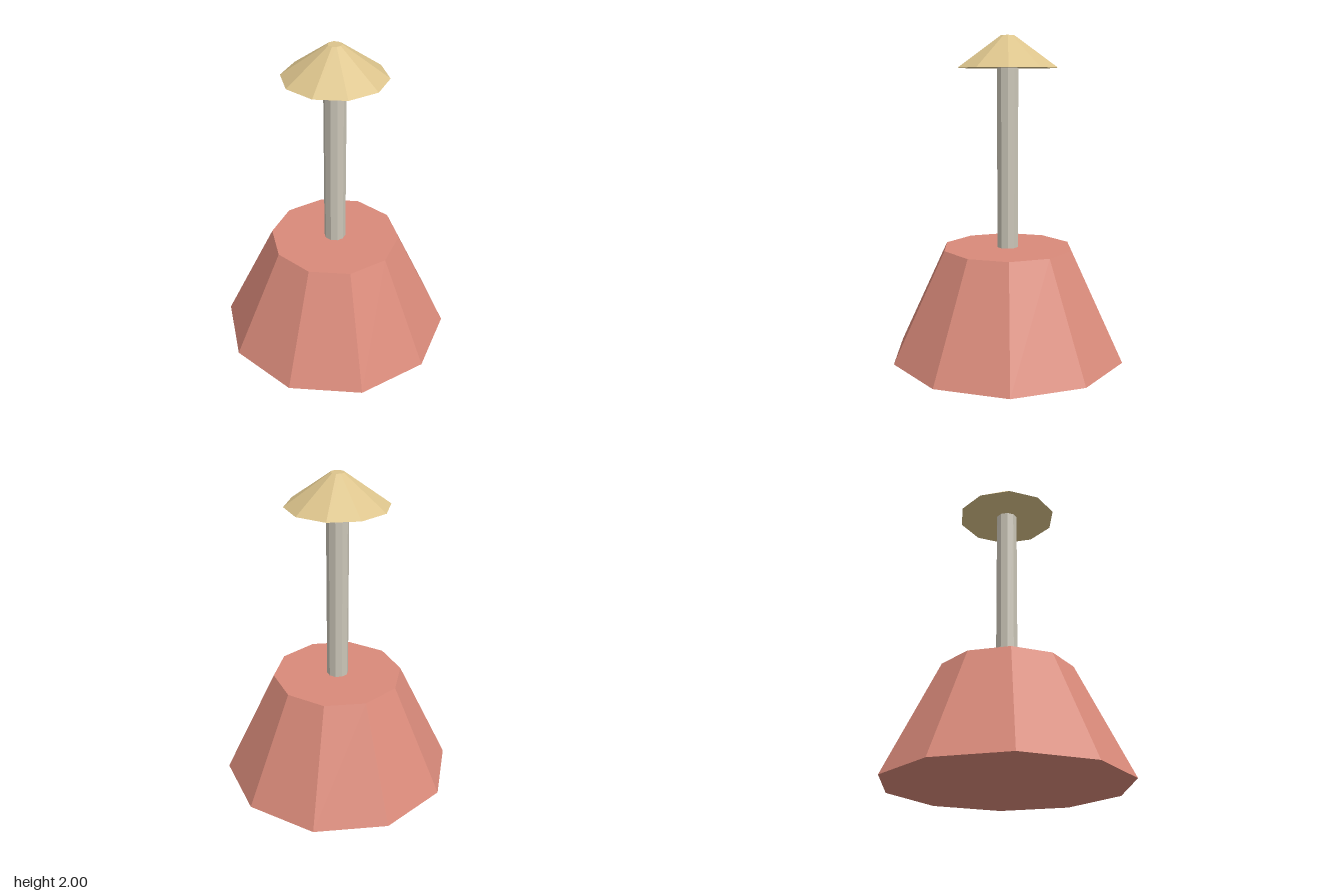
import * as THREE from 'three';

const SIDES = 10;

function material(name, color) {
  const m = new THREE.MeshStandardMaterial({ color, flatShading: true });
  m.name = name;
  return m;
}

// Ten-sided tapered section standing between two heights
function section(name, topRadius, bottomRadius, bottom, top, mat) {
  const geometry = new THREE.CylinderGeometry(topRadius, bottomRadius, top - bottom, SIDES);
  const mesh = new THREE.Mesh(geometry, mat);
  mesh.position.y = (bottom + top) / 2;
  mesh.name = name;
  return mesh;
}

export function createModel() {
  const model = new THREE.Group();
  model.name = 'cappedPost';

  const terracotta = material('terracotta', 0xd98a7a);
  const stoneGrey = material('stone grey', 0xcbc6b8);
  const sand = material('sand', 0xdcc48c);

  model.add(
    section('base', 0.412, 0.742, 0, 0.69, terracotta),
    section('pole', 0.068, 0.068, 0.69, 1.805, stoneGrey),
    section('cap', 0.042, 0.315, 1.805, 2, sand)
  );
  return model;
}
